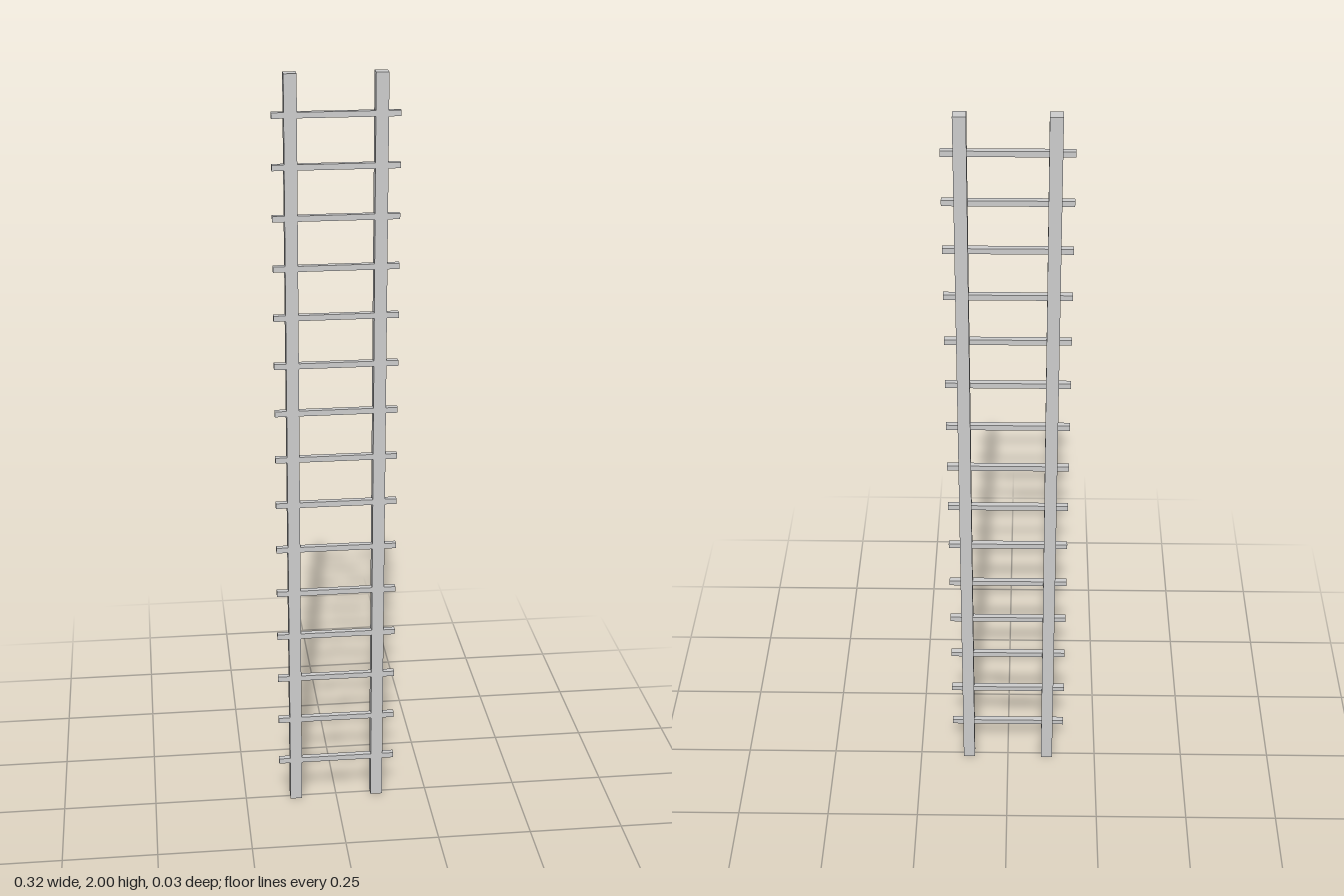
import * as THREE from 'three';

export function createModel() {
  const ladder = new THREE.Group();
  ladder.name = 'ladder';
  const material = new THREE.MeshStandardMaterial({ color: 0xcccccc, flatShading: true });

  function addBar(name, size, position) {
    const bar = new THREE.Mesh(new THREE.BoxGeometry(...size), material);
    bar.name = name;
    bar.position.set(...position);
    ladder.add(bar);
  }

  // Two square upright rails
  const railSize = 0.032;
  addBar('leftRail', [railSize, 2, railSize], [0.1115, 1, 0]);
  addBar('rightRail', [railSize, 2, railSize], [-0.1115, 1, 0]);

  // Evenly spaced rungs, let into the front half of the rails and overhanging them
  const rungCount = 15;
  const firstRung = 0.121;
  const rungStep = 0.1271;
  for (let i = 0; i < rungCount; i++) {
    addBar(`rung${i + 1}`, [0.316, 0.0145, 0.0155], [0, firstRung + i * rungStep, 0.008]);
  }

  return ladder;
}
